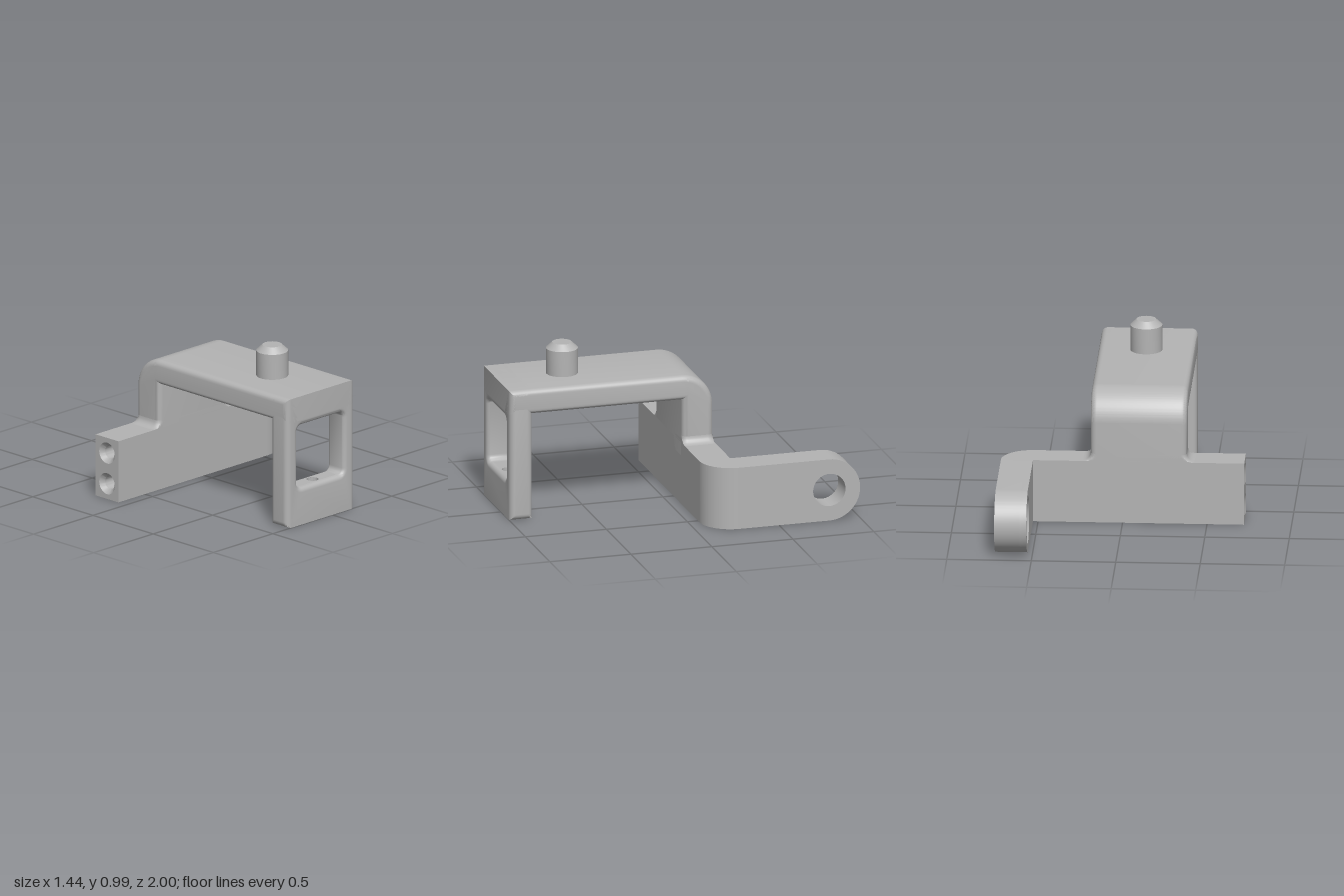
import * as THREE from 'three';
import { toCreasedNormals } from 'three/addons/utils/BufferGeometryUtils.js';

const HALF = Math.PI / 2;
const STEPS = 6;   // points per quarter round
const EDGE = 0.035; // rounding of the strap edges

// Rounded rectangle as a counter-clockwise loop, centred on the origin
function roundLoop(hx, hy, r) {
  const loop = [];
  for (let c = 0; c < 4; c++) {
    const sx = c === 0 || c === 3 ? 1 : -1, sy = c < 2 ? 1 : -1;
    for (let i = 0; i <= STEPS; i++) {
      const a = (c + i / STEPS) * HALF;
      loop.push([sx * (hx - r) + r * Math.cos(a), sy * (hy - r) + r * Math.sin(a)]);
    }
  }
  return loop;
}
const LOWER_EDGE = 3 * (STEPS + 1) - 1; // loop index of the straight lower edge

// Skin through equal loops of [x, y, z]
function loft(rings, closed, skip = () => false) {
  const n = rings[0].length, index = [];
  const last = closed ? rings.length : rings.length - 1;
  for (let k = 0; k < last; k++) {
    for (let i = 0; i < n; i++) {
      if (skip(k, i)) continue;
      const k2 = (k + 1) % rings.length, j = (i + 1) % n;
      const a = k * n + i, b = k * n + j, c = k2 * n + i, d = k2 * n + j;
      index.push(a, b, c, b, d, c);
    }
  }
  const g = new THREE.BufferGeometry();
  g.setAttribute('position', new THREE.Float32BufferAttribute(rings.flat(2), 3));
  g.setIndex(index);
  return g;
}

function polygon(points) {
  return new THREE.Shape(points.map(([x, y]) => new THREE.Vector2(x, y)));
}

function addHole(shape, x, y, r) {
  shape.holes.push(new THREE.Path().absarc(x, y, r, 0, Math.PI * 2, true));
  return shape;
}

// Shapes for extrudeX are drawn in (-z, y)
function extrudeX(shape, x0, x1, bevel = 0) {
  return new THREE.ExtrudeGeometry(shape, {
    depth: x1 - x0 - 2 * bevel, curveSegments: 32, bevelEnabled: bevel > 0,
    bevelSize: bevel, bevelThickness: bevel, bevelOffset: -bevel, bevelSegments: STEPS,
  }).rotateY(HALF).translate(x0 + bevel, 0, 0);
}

// Hole wall, running along +y from its mouth
function bore(profile) {
  return new THREE.LatheGeometry(profile.map(([r, y]) => new THREE.Vector2(r, y)), 32);
}

export function createModel() {
  const model = new THREE.Group();
  model.name = 'bracket';
  const grey = new THREE.MeshStandardMaterial({ color: 0xb4b4b4, side: THREE.DoubleSide });
  grey.name = 'grey metal';
  const add = (name, geometry) => {
    const mesh = new THREE.Mesh(toCreasedNormals(geometry, 0.6), grey);
    mesh.name = name;
    model.add(mesh);
  };
  const midX = -0.095, halfX = 0.285;
  const backZ = -0.255, plateZ = -0.065, plateTop = 0.38;

  // Strap: flat top bending down into the rear leg
  const strap = polygon([[-1, 0.8], [-1, 0.65], [-plateZ, 0.65], [-plateZ, 0.3], [-backZ, 0.3], [-backZ, 0.61]]);
  strap.absarc(0.065, 0.61, 0.19, 0, HALF, false);
  add('strap', extrudeX(strap, midX - halfX, midX + halfX, EDGE));

  // Front leg: a frame with a soft-edged window
  const legZ = 0.93, halfZ = 0.07, rim = 0.03, winY = 0.4225, win = 0.193;
  const outer = (t, side) => {
    const lim = halfX - EDGE * (1 - Math.cos(t));
    const z = legZ + side * (halfZ - EDGE * (1 - Math.sin(t)));
    return roundLoop(halfX, 0.4, EDGE).map(([x, y]) => [midX + Math.max(-lim, Math.min(lim, x)), 0.4 + y, z]);
  };
  const inner = (t, side) => {
    const d = rim * (1 - Math.cos(t));
    const z = legZ + side * (halfZ - rim * (1 - Math.sin(t)));
    return roundLoop(win + d, win + d, EDGE + d).map(([x, y]) => [midX + x, winY + y, z]);
  };
  const up = [], down = [];
  for (let i = 0; i <= STEPS; i++) up.push(i / STEPS * HALF);
  for (const t of up) down.unshift(t);
  const rings = [
    ...down.map(t => outer(t, -1)), ...up.map(t => outer(t, 1)),
    ...down.map(t => inner(t, 1)), ...up.map(t => inner(t, -1)),
  ];
  const m = STEPS + 1;
  add('frontLeg', loft(rings, true, (k, i) => i === LOWER_EDGE && (k < 2 * m - 1 || k === 3 * m - 1)));

  // Drilled faces under the leg and on the window sill, with the hole between
  const drilled = (hx, hz, r) => new THREE.ShapeGeometry(
    addHole(polygon([[-hx, -hz], [hx, -hz], [hx, hz], [-hx, hz]]), 0, 0, r), 32);
  add('legBottom', drilled(halfX - EDGE, halfZ, 0.055).rotateX(HALF).translate(midX, 0, legZ));
  add('windowSill', drilled(win - EDGE, halfZ - rim, 0.035).rotateX(-HALF).translate(midX, winY - win, legZ));
  add('legHole', bore([[0.055, 0], [0.035, 0.02], [0.035, winY - win]]).translate(midX, 0, legZ));

  // Back plate with its round outer bend, drawn in (x, -z)
  const plate = polygon([[-0.45, -plateZ], [0.53, -plateZ]]);
  plate.absarc(0.53, -backZ, 0.19, -HALF, 0, false);
  plate.lineTo(-0.45, -backZ);
  addHole(plate, -0.04, 0.16, 0.055);
  add('backPlate', new THREE.ExtrudeGeometry(plate, { depth: plateTop, bevelEnabled: false, curveSegments: 32 }).rotateX(-HALF));
  add('plateHole', bore([[0.055, 0], [0.035, 0.02], [0.035, 0.25], [0, 0.25]]).translate(-0.04, 0, -0.16));

  // Plate end with two countersunk blind holes
  const end = polygon([[-plateZ, 0], [-backZ, 0], [-backZ, plateTop], [-plateZ, plateTop]]);
  for (const y of [0.095, 0.285]) {
    addHole(end, 0.16, y, 0.065);
    add('endHole', bore([[0.065, 0], [0.04, 0.025], [0.04, 0.2], [0, 0.2]]).rotateZ(-HALF).translate(-0.72, y, -0.16));
  }
  add('plateEnd', extrudeX(end, -0.72, -0.45));

  // Rear arm with round end; its hole is countersunk on the inner side
  const arm = r => {
    const s = polygon([[-backZ, 0], [0.81, 0]]);
    s.absarc(0.81, 0.19, 0.19, -HALF, HALF, false);
    s.lineTo(-backZ, plateTop);
    return addHole(s, 0.81, 0.19, r);
  };
  add('armInner', extrudeX(arm(0.14), 0.53, 0.57));
  add('armOuter', extrudeX(arm(0.1), 0.57, 0.72));
  add('armCountersink', bore([[0.14, 0], [0.1, 0.04]]).rotateZ(-HALF).translate(0.53, 0.19, -0.81));

  // Fillet flaring from the rear leg onto the plate, cut flush with its faces
  const flare = 0.045, hz = 0.095;
  const flareRings = down.map(t => {
    const d = flare * (1 - Math.cos(t));
    return roundLoop(halfX + d, hz + d, EDGE + d)
      .map(([x, y]) => [x, Math.max(-hz, Math.min(hz, y)), flare * (1 - Math.sin(t))]);
  });
  add('legFillet', loft(flareRings, false).rotateX(-HALF).translate(midX, plateTop, -0.16));

  // Locating pin with chamfered tip
  add('pin', bore([[0.095, 0.79], [0.095, 0.955], [0.058, 0.99], [0, 0.99]]).translate(midX, 0, 0.595));

  return model;
}
